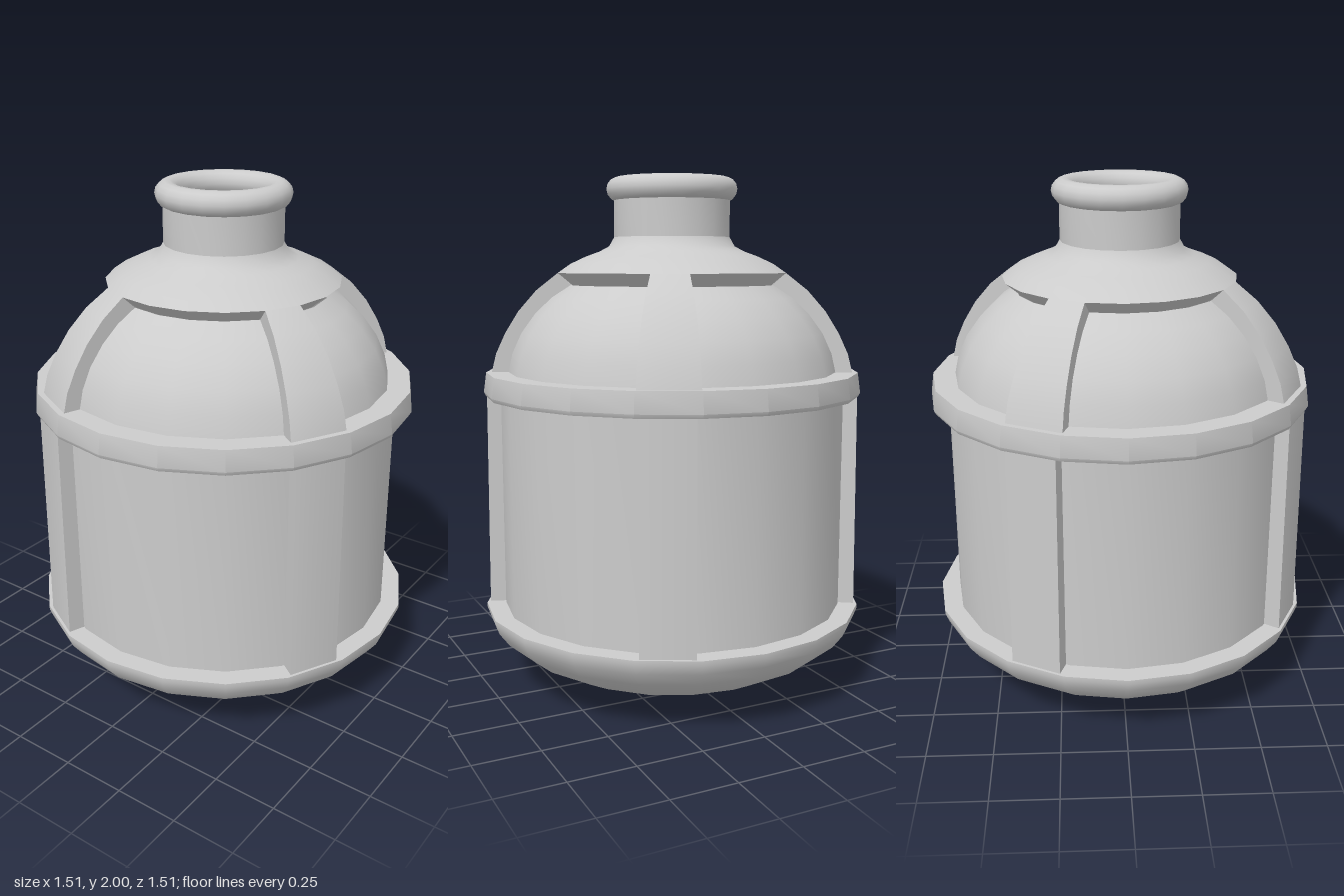
import * as THREE from 'three';
import { toCreasedNormals } from 'three/addons/utils/BufferGeometryUtils.js';

const SIDES = 20;
const rad = THREE.MathUtils.degToRad;
const material = new THREE.MeshStandardMaterial({ color: 0xcccccc, side: THREE.DoubleSide });
const toPoints = (list) => list.map(([r, y]) => new THREE.Vector2(r, y));

function addMesh(parent, name, geometry) {
  const mesh = new THREE.Mesh(geometry, material);
  mesh.name = name;
  parent.add(mesh);
  return mesh;
}

// Full turned part with soft facets and sharp profile corners
function turned(parent, name, profile) {
  const geometry = new THREE.LatheGeometry(toPoints(profile), SIDES);
  return addMesh(parent, name, toCreasedNormals(geometry, 0.65));
}

// Upright rib: one facet of a turned shape, closed by flat radial walls
function rib(parent, name, outer, inner, from, to) {
  const group = new THREE.Group();
  group.name = name;
  const a0 = rad(from), a1 = rad(to);
  addMesh(group, name + 'Face', new THREE.LatheGeometry(toPoints(outer), 1, a0, a1 - a0));
  const outline = new THREE.Shape(toPoints([...outer, ...[...inner].reverse()]));
  for (const a of [a0, a1]) {
    const wall = new THREE.ShapeGeometry(outline);
    wall.rotateY(a - Math.PI / 2);
    addMesh(group, name + 'Wall', wall);
  }
  parent.add(group);
  return group;
}

export function createModel() {
  const model = new THREE.Group();
  model.name = 'ribbedCanister';

  // Rounded bottom with a flat rim
  turned(model, 'bowlBase', [
    [0, 0], [0.2, 0.013], [0.38, 0.045], [0.52, 0.09], [0.63, 0.147],
    [0.7, 0.203], [0.74, 0.256], [0.755, 0.295], [0.755, 0.312], [0.67, 0.312],
  ]);

  // Recessed wall and dome behind the ribs
  turned(model, 'bodyWall', [[0.68, 0.3], [0.68, 1.17]]);
  const innerDome = [[0.65, 1.24], [0.632, 1.32], [0.595, 1.4], [0.54, 1.475], [0.475, 1.537], [0.4, 1.585]];
  turned(model, 'innerDome', innerDome);

  // Band between the wall and the dome
  turned(model, 'middleBand', [[0.67, 1.155], [0.738, 1.155], [0.746, 1.17], [0.735, 1.248], [0.64, 1.248]]);

  // Shoulder overhanging the dome and sweeping up into the neck
  turned(model, 'shoulderCollar', [
    [0.39, 1.582], [0.45, 1.632], [0.4, 1.667], [0.34, 1.695],
    [0.285, 1.715], [0.248, 1.735], [0.228, 1.77],
  ]);
  turned(model, 'neck', [[0.228, 1.75], [0.228, 1.925], [0, 1.925]]);

  // Rolled lip
  const lip = new THREE.TorusGeometry(0.21, 0.047, 14, SIDES);
  lip.rotateX(Math.PI / 2);
  addMesh(model, 'neckLip', lip).position.y = 1.953;

  // Four ribs between the recessed panels, lower and upper
  const outerDome = [[0.715, 1.24], [0.695, 1.32], [0.658, 1.4], [0.605, 1.485], [0.535, 1.565], [0.45, 1.632]];
  for (let i = 0; i < 4; i++) {
    const turn = i * 90;
    rib(model, 'wallRib', [[0.742, 0.305], [0.735, 1.16]], [[0.67, 0.305], [0.67, 1.16]], 55 + turn, 70.5 + turn);
    rib(model, 'domeRib', outerDome, innerDome, 54 + turn, 72 + turn);
  }
  return model;
}
